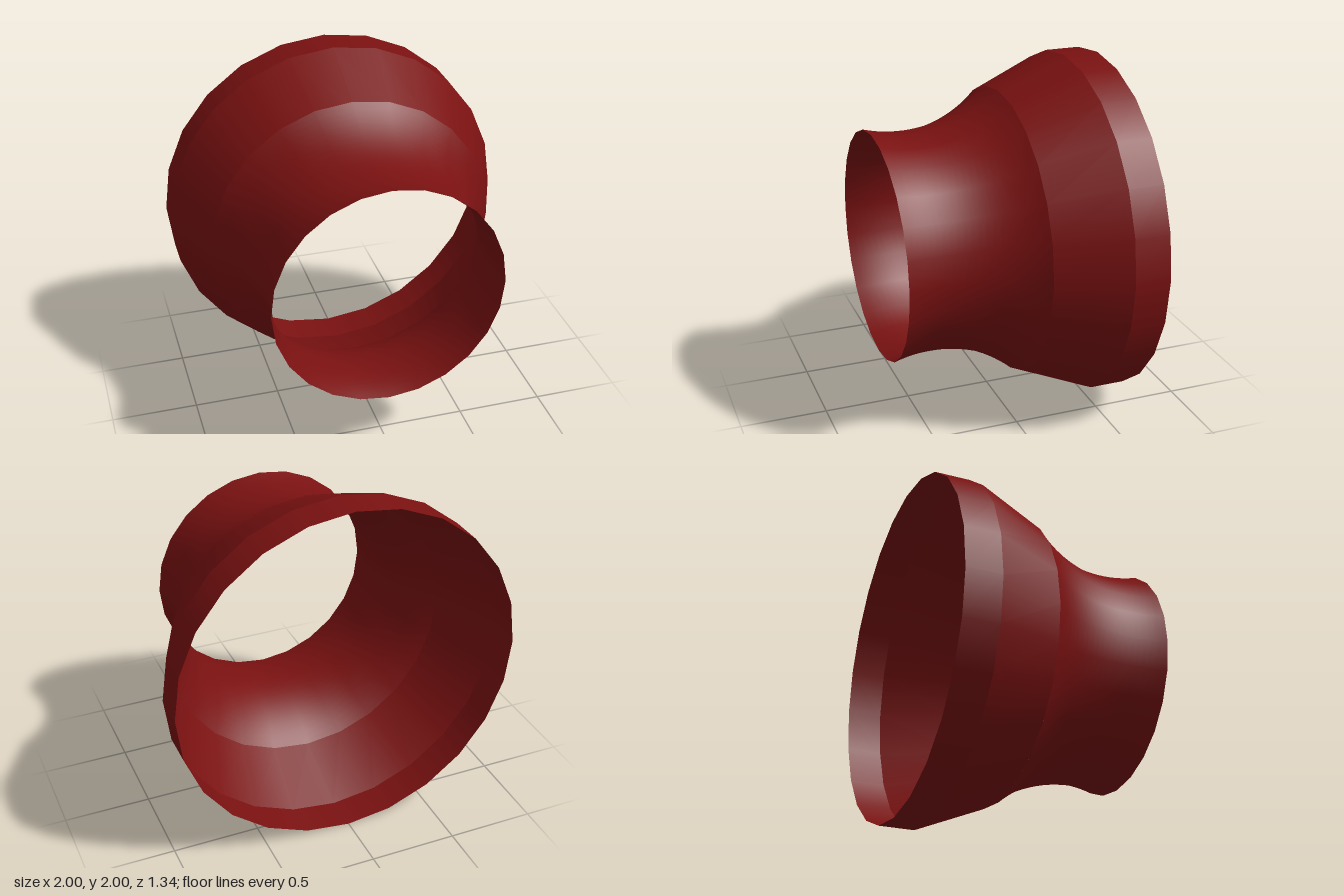
import * as THREE from 'three';

const SIDES = 24;

export function createModel() {
  const model = new THREE.Group();
  const material = new THREE.MeshStandardMaterial({ color: 0x7a1111, side: THREE.DoubleSide });

  // Thin ring turned about the z axis from [radius, z] pairs, back to front
  function addRing(name, profile) {
    const points = profile.map(([r, z]) => new THREE.Vector2(r, z));
    const geometry = new THREE.LatheGeometry(points, SIDES).rotateX(Math.PI / 2);
    const mesh = new THREE.Mesh(geometry, material);
    mesh.name = name;
    mesh.position.y = 1;
    model.add(mesh);
  }

  // Straight collar at the back and the cone that narrows from it;
  // separate rings keep the edges between them sharp
  addRing('backCollar', [[1, -0.67], [1, -0.465]]);
  addRing('cone', [[1, -0.465], [0.833, -0.07]]);

  // Waisted neck: a circular arc, narrowest at z = 0.455, flaring to the front rim
  const arcRadius = 0.78, waistZ = 0.455, waistRadius = 0.63;
  const start = Math.asin((-0.07 - waistZ) / arcRadius);
  const end = Math.asin((0.67 - waistZ) / arcRadius);
  const neck = [];
  for (let i = 0; i <= 20; i++) {
    const a = THREE.MathUtils.lerp(start, end, i / 20);
    neck.push([waistRadius + arcRadius * (1 - Math.cos(a)), waistZ + arcRadius * Math.sin(a)]);
  }
  addRing('flaredNeck', neck);

  return model;
}
